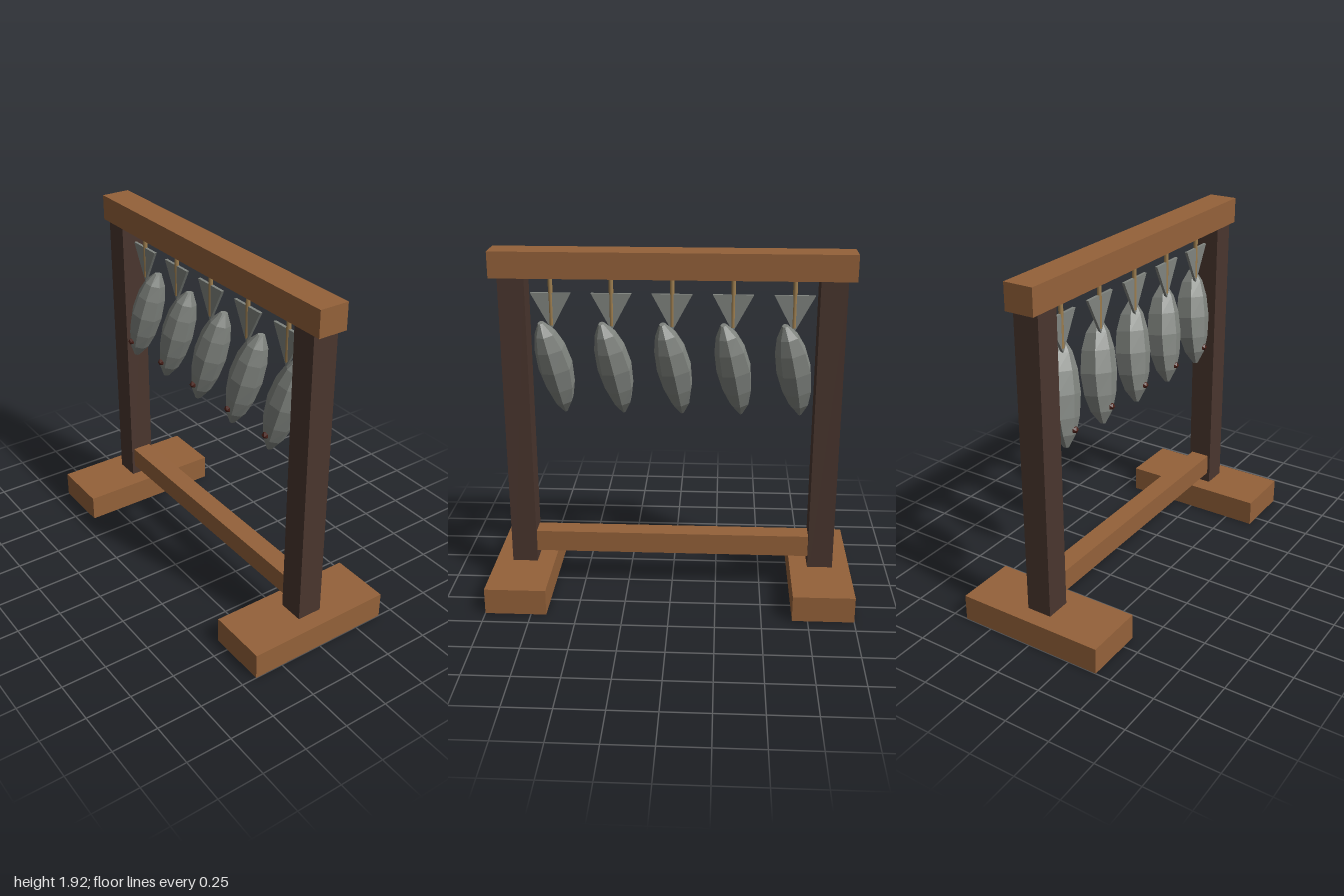
import * as THREE from 'three';

const mat = (name, color) => {
  const m = new THREE.MeshStandardMaterial({ color });
  m.name = name;
  return m;
};

// Faceted fish body: seven-sided sections along local y, broad flat facet on -z
function fishGeometry() {
  const section = [[0, 0.086], [0.07, 0.05], [0.09, -0.02], [0.05, -0.1], [-0.05, -0.1], [-0.09, -0.02], [-0.07, 0.05]];
  const rings = [[-0.28, 0.1], [-0.21, 0.56], [-0.12, 0.85], [0, 1], [0.12, 0.88], [0.21, 0.6], [0.278, 0.16]];
  const n = section.length, pos = [], index = [];
  for (const [t, s] of rings)
    for (const [v, w] of section) pos.push(v * Math.pow(s, 0.75), t, w * s);
  for (let r = 0; r < rings.length - 1; r++)
    for (let i = 0; i < n; i++) {
      const a = r * n + i, b = r * n + (i + 1) % n;
      index.push(a, b, b + n, a, b + n, a + n);
    }
  const top = (rings.length - 1) * n;
  for (let i = 1; i < n - 1; i++) {
    index.push(0, i + 1, i);
    index.push(top, top + i, top + i + 1);
  }
  const g = new THREE.BufferGeometry();
  g.setAttribute('position', new THREE.Float32BufferAttribute(pos, 3));
  g.setIndex(index);
  const flat = g.toNonIndexed();
  flat.computeVertexNormals();
  return flat;
}

export function createModel() {
  const model = new THREE.Group();
  model.name = 'fishDryingRack';
  const wood = mat('warm wood', 0x95623a);
  const darkWood = mat('dark wood', 0x4a362e);
  const grey = mat('fish grey', 0x80847f);
  const cord = mat('tan cord', 0xa08050);
  const red = mat('dark red', 0x4a2018);
  for (const m of [grey, red]) m.flatShading = true;

  const add = (parent, name, geo, material, x, y, z) => {
    const mesh = new THREE.Mesh(geo, material);
    mesh.name = name;
    mesh.position.set(x, y, z);
    parent.add(mesh);
    return mesh;
  };

  // Frame
  add(model, 'topBeam', new THREE.BoxGeometry(0.16, 0.14, 1.9), wood, 0, 1.85, 0);
  add(model, 'lowerRail', new THREE.BoxGeometry(0.11, 0.12, 1.54), wood, 0, 0.265, 0);
  for (const s of [1, -1]) {
    const side = s > 0 ? 'front' : 'back';
    add(model, side + 'Foot', new THREE.BoxGeometry(0.83, 0.145, 0.334), wood, 0, 0.0725, s * 0.833);
    add(model, side + 'Post', new THREE.BoxGeometry(0.14, 1.781, 0.14), darkWood, 0, 0.8895, s * 0.835);
  }

  // Tail plate: thin triangle facing x, point down
  const tri = new THREE.Shape([[-0.107, 0.1], [0, -0.1], [0.107, 0.1]].map(p => new THREE.Vector2(...p)));
  const tailGeo = new THREE.ExtrudeGeometry(tri, { depth: 0.016, bevelEnabled: false });
  tailGeo.translate(0, 0, -0.008).rotateY(Math.PI / 2);
  const bodyGeo = fishGeometry();
  const cordGeo = new THREE.CylinderGeometry(0.012, 0.012, 0.27, 8);
  const mouthGeo = new THREE.IcosahedronGeometry(0.02, 0);

  // Body axes: length tilted towards +x and -z, belly towards +x and down
  const u = new THREE.Vector3(0.3, 0.46, -0.11).normalize();
  const v = new THREE.Vector3(0, 0, 1).addScaledVector(u, -u.z).normalize();
  const w = new THREE.Vector3().crossVectors(u, v);
  const tilt = new THREE.Matrix4().makeBasis(v.clone().negate(), u, w.clone().negate());
  // Half turn about the length keeps the flat facet on the upper side
  tilt.multiply(new THREE.Matrix4().makeRotationY(Math.PI));

  for (let i = -2; i <= 2; i++) {
    const fish = new THREE.Group();
    fish.name = 'hangingFish';
    fish.position.z = i * 0.32;
    add(fish, 'cord', cordGeo, cord, 0, 1.65, 0);
    add(fish, 'tail', tailGeo, grey, 0, 1.59, 0);
    add(fish, 'body', bodyGeo, grey, 0, 1.28, 0).quaternion.setFromRotationMatrix(tilt);
    add(fish, 'eye', mouthGeo, red, -0.09, 1.12, -0.037);
    model.add(fish);
  }
  return model;
}
